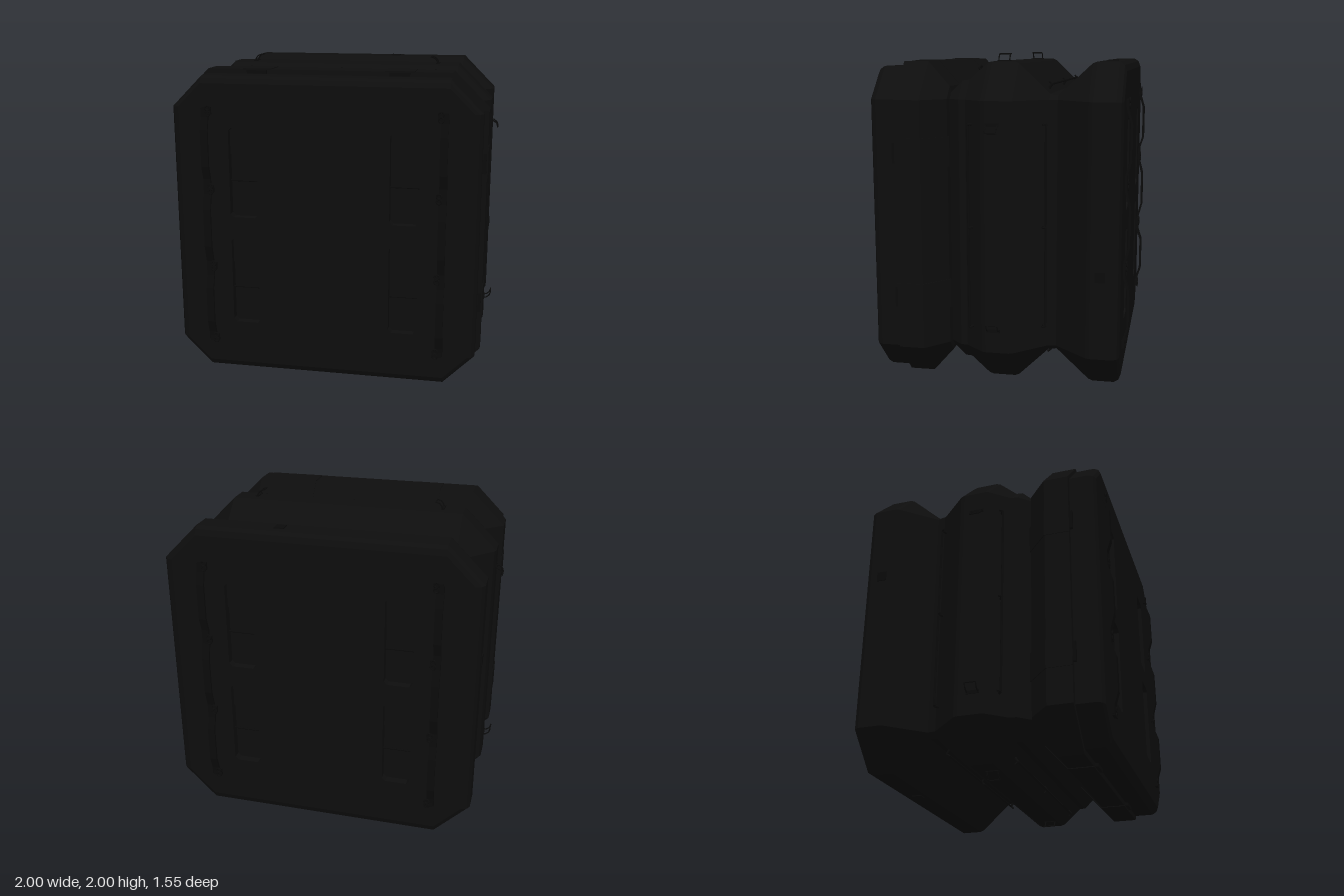
import * as THREE from 'three';

const bodyMat = new THREE.MeshStandardMaterial({ name: 'black shell', color: 0x0d0d0d, side: THREE.DoubleSide, flatShading: true });
const trimMat = new THREE.MeshStandardMaterial({ name: 'dark trim', color: 0x0a0a0a, flatShading: true });
bodyMat.side = THREE.DoubleSide;

const CORNER = 0.737; // where the chamfered corners begin, same for every ring
const FACE = 0.735;   // distance of the front and back faces from the centre

// Cross-sections from front to back: [z, half size]
const PROFILE = [
  [0.735, 0.88], [0.722, 0.908], [0.695, 0.925], [0.578, 0.925], [0.575, 0.953], [0.425, 0.953],
  [0.3, 0.81], [0.292, 0.775], [0.222, 0.842], [0.182, 0.845], [0.07, 0.945], [0.045, 0.953],
  [-0.09, 0.953], [-0.115, 0.943], [-0.295, 0.77], [-0.345, 0.763], [-0.54, 0.943], [-0.565, 0.953],
  [-0.695, 0.953], [-0.722, 0.935], [-0.735, 0.9],
];

function octagon(h, b = CORNER) {
  return [[h, -b], [h, b], [b, h], [-b, h], [-h, b], [-h, -b], [-b, -h], [b, -h]];
}

function add(parent, name, geometry, material, x = 0, y = 0, z = 0) {
  const mesh = new THREE.Mesh(geometry, material);
  mesh.name = name;
  mesh.position.set(x, y, z);
  parent.add(mesh);
  return mesh;
}

function box(parent, name, material, w, h, d, x, y, z) {
  return add(parent, name, new THREE.BoxGeometry(w, h, d), material, x, y, z);
}

// Round rod between two points
function rod(parent, name, from, to, r) {
  const a = new THREE.Vector3(...from), b = new THREE.Vector3(...to);
  const dir = b.clone().sub(a);
  const mesh = add(parent, name, new THREE.CylinderGeometry(r, r, dir.length(), 8), trimMat);
  mesh.position.copy(a).add(b).multiplyScalar(0.5);
  mesh.quaternion.setFromUnitVectors(new THREE.Vector3(0, 1, 0), dir.normalize());
}

// Shell lofted through the octagonal cross-sections
function shellGeometry() {
  const pos = [], idx = [];
  for (const [z, h] of PROFILE) for (const [x, y] of octagon(h)) pos.push(x, y, z);
  for (let i = 0; i < PROFILE.length - 1; i++) {
    for (let j = 0; j < 8; j++) {
      const a = i * 8 + j, b = i * 8 + (j + 1) % 8;
      idx.push(a, a + 8, b + 8, a, b + 8, b);
    }
  }
  const g = new THREE.BufferGeometry();
  g.setAttribute('position', new THREE.Float32BufferAttribute(pos, 3));
  g.setIndex(idx);
  const flat = g.toNonIndexed();
  flat.computeVertexNormals();
  return flat;
}

// Profile in the z-y plane, extruded across x
function sideExtrude(points, width) {
  const shape = new THREE.Shape(points.map(([z, y]) => new THREE.Vector2(z, y)));
  const g = new THREE.ExtrudeGeometry(shape, { depth: width, bevelEnabled: false });
  g.translate(0, 0, -width / 2);
  g.rotateY(-Math.PI / 2);
  return g;
}

// Wavy strap, standing off the face in three places
function strapGeometry() {
  const half = [[0.75, 0.735], [0.752, 0.685], [0.776, 0.605], [0.776, 0.385], [0.75, 0.305], [0.75, 0.215], [0.776, 0.115]];
  const line = [...half, ...half.slice().reverse().map(([z, y]) => [z, -y])];
  const back = line.slice().reverse().map(([z, y]) => [z - 0.014, y]);
  return sideExtrude([...line, ...back], 0.045);
}

// One end face with four pockets, straps and clasps
function buildFace(h) {
  const face = new THREE.Group();
  const pockets = [];
  for (const s of [-1, 1]) for (const [y0, y1] of [[-0.61, -0.06], [0.07, 0.62]]) pockets.push([s * 0.487, y0, y1]);

  const shape = new THREE.Shape(octagon(h).map(p => new THREE.Vector2(...p)));
  for (const [x, y0, y1] of pockets) {
    const w = 0.087, c = 0.02;
    shape.holes.push(new THREE.Path([
      [x - w + c, y0], [x - w, y0 + c], [x - w, y1 - c], [x - w + c, y1],
      [x + w - c, y1], [x + w, y1 - c], [x + w, y0 + c], [x + w - c, y0],
    ].map(p => new THREE.Vector2(...p))));
  }
  add(face, 'facePlate', new THREE.ExtrudeGeometry(shape, { depth: 0.05, bevelEnabled: false }), bodyMat, 0, 0, FACE - 0.05);

  for (const [x, y0, y1] of pockets) {
    const mid = (y0 + y1) / 2, len = y1 - y0;
    box(face, 'pocketFloor', bodyMat, 0.19, len + 0.02, 0.01, x, mid, FACE - 0.055);
    box(face, 'pocketStep', bodyMat, 0.17, 0.16, 0.02, x, y1 - 0.085, FACE - 0.04);
    rod(face, 'pocketBar', [x - 0.09, mid - 0.05, FACE - 0.03], [x + 0.09, mid - 0.05, FACE - 0.03], 0.006);
  }

  const strap = strapGeometry();
  for (const s of [-1, 1]) {
    add(face, 'faceStrap', strap, trimMat, s * 0.712, 0, 0);
    for (const y of [-0.72, -0.245, 0.245, 0.72]) {
      box(face, 'strapMount', trimMat, 0.055, 0.045, 0.02, s * 0.7, y, FACE + 0.006);
      for (const d of [-0.016, 0.016]) {
        add(face, 'strapClasp', new THREE.TorusGeometry(0.014, 0.005, 6, 12), trimMat, s * 0.69, y + d, FACE + 0.018);
      }
    }
  }
  return face;
}

// Fittings of one of the four long sides, laid out on top
function buildSide() {
  const side = new THREE.Group();

  // Thin raised plates following the front slab
  const plate = sideExtrude([[0.577, 0.95], [0.577, 0.957], [0.423, 0.957], [0.29, 0.805], [0.294, 0.8], [0.425, 0.95]], 0.175);
  for (const s of [-1, 1]) {
    add(side, 'slabPlate', plate, bodyMat, s * 0.43, 0, 0);
    box(side, 'slabLatch', trimMat, 0.12, 0.02, 0.02, s * 0.43, 0.938, 0.585);
  }

  // Grab bars on both slopes of the middle ring: [z, y, outward z, outward y]
  for (const [z, y, dz, dy] of [[0.13, 0.888, 0.022, 0.024], [-0.265, 0.797, -0.022, 0.024]]) {
    const out = x => [x, y + dy, z + dz];
    rod(side, 'grabBar', out(-0.6), out(0.6), 0.007);
    for (const x of [-0.6, 0, 0.6]) {
      rod(side, 'grabBarPost', [x, y - 0.01, z], out(x), 0.008);
      rod(side, 'grabBarHook', [x, y + dy, z + dz], [x, y + dy + 0.016, z + dz * 0.2], 0.006);
    }
  }

  // Wire loops curling inwards on the ring's crest
  for (const s of [-1, 1]) {
    const arc = [[0.605, 0.95], [0.598, 0.972], [0.583, 0.99], [0.56, 0.997]];
    for (const z of [-0.033, 0.033]) {
      for (let i = 0; i < 3; i++) {
        rod(side, 'loopWire', [s * arc[i][0], arc[i][1], z], [s * arc[i + 1][0], arc[i + 1][1], z], 0.004);
      }
    }
    rod(side, 'loopCrossWire', [s * 0.56, 0.996, -0.036], [s * 0.56, 0.996, 0.036], 0.004);
    box(side, 'loopBase', trimMat, 0.02, 0.008, 0.08, s * 0.603, 0.954, 0);
  }
  box(side, 'edgeCatch', trimMat, 0.06, 0.012, 0.06, 0.25, 0.953, -0.62);
  return side;
}

export function createModel() {
  const model = new THREE.Group();
  model.name = 'crate';
  const crate = new THREE.Group();
  crate.name = 'crateBody';
  crate.position.y = 1.0;
  model.add(crate);

  add(crate, 'ribbedShell', shellGeometry(), bodyMat);

  const front = buildFace(0.88);
  front.name = 'frontFace';
  const back = buildFace(0.9);
  back.name = 'backFace';
  back.rotation.y = Math.PI;
  crate.add(front, back);

  ['topFittings', 'leftFittings', 'bottomFittings', 'rightFittings'].forEach((name, i) => {
    const side = buildSide();
    side.name = name;
    side.rotation.z = -i * Math.PI / 2;
    crate.add(side);
  });
  return model;
}
